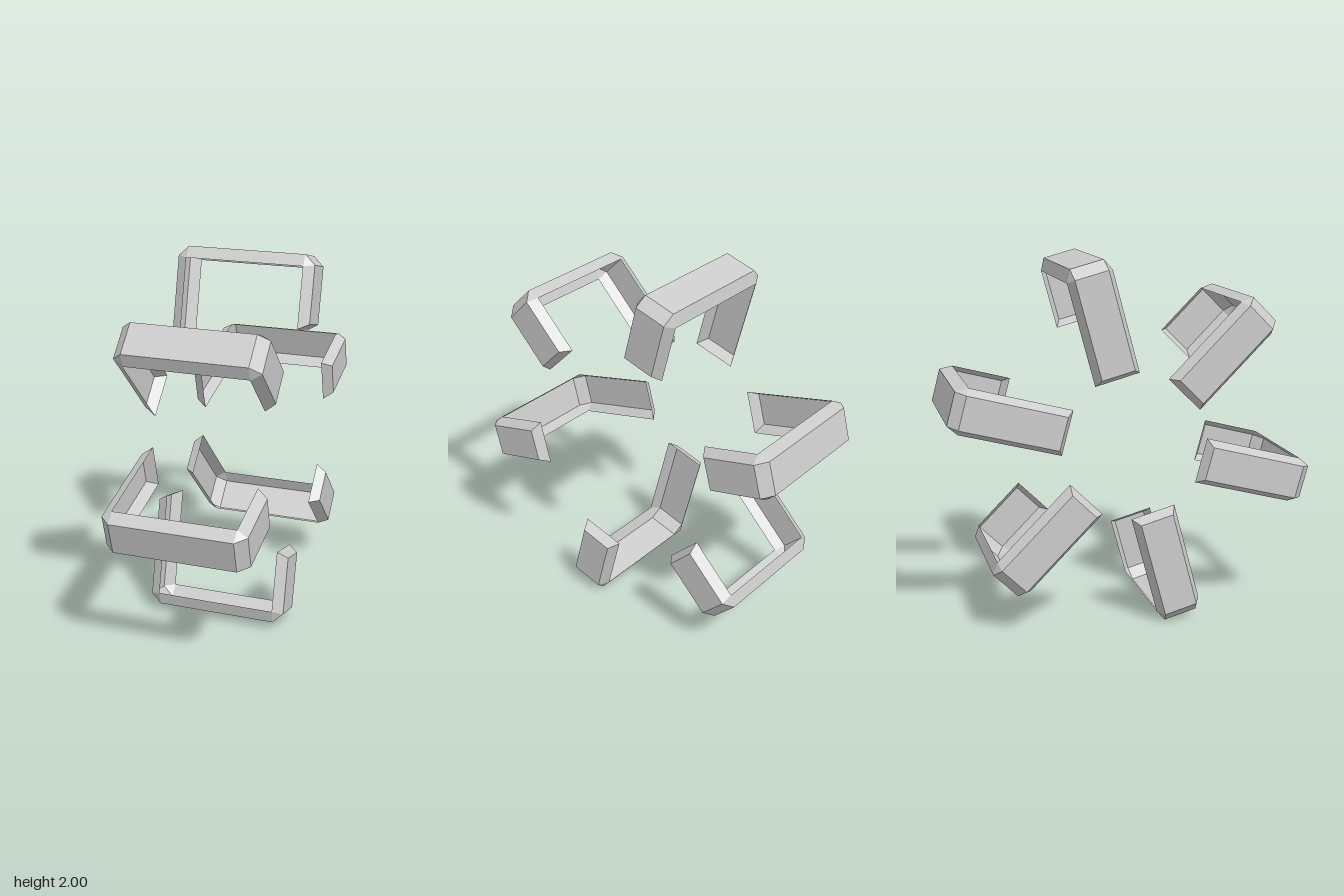
import * as THREE from 'three';

// Bracket profile as [x, radius]: narrow outer face and wide open inner rim
const OUTER = [[-0.39, 0.415], [-0.39, 0.957], [-0.333, 1.011], [0.333, 1.011], [0.39, 0.957], [0.39, 0.64]];
const RIM = [[-0.333, 0.383], [-0.333, 0.945], [0.333, 0.945], [0.333, 0.609]];
const OUTER_HALF = 0.092;
const RIM_HALF = 0.125;

// Hollow U-shaped shell: one long arm, one short arm, chamfered corners
function bracketGeometry() {
  const out = (i, s) => [...OUTER[i], s * OUTER_HALF];
  const rim = (i, s) => [...RIM[i], s * RIM_HALF];
  const positions = [];
  const face = (...pts) => {
    for (let i = 1; i < pts.length - 1; i++) positions.push(...pts[0], ...pts[i], ...pts[i + 1]);
  };

  // Outer face
  for (let i = 0; i < 5; i++) face(out(i, 1), out(i + 1, 1), out(i + 1, -1), out(i, -1));

  // Bevelled sides, mirrored
  for (const s of [1, -1]) {
    const side = (...pts) => face(...(s > 0 ? pts : pts.reverse()));
    for (let k = 0; k < 3; k++) side(out(2 * k, s), rim(k, s), rim(k + 1, s), out(2 * k + 1, s));
    for (let k = 1; k < 3; k++) side(out(2 * k - 1, s), rim(k, s), out(2 * k, s));
  }

  // Slanted arm ends
  face(out(0, 1), out(0, -1), rim(0, -1), rim(0, 1));
  face(out(5, -1), out(5, 1), rim(3, 1), rim(3, -1));

  const geometry = new THREE.BufferGeometry();
  geometry.setAttribute('position', new THREE.Float32BufferAttribute(positions, 3));
  geometry.computeVertexNormals();
  return geometry;
}

export function createModel() {
  const model = new THREE.Group();
  model.name = 'bracketRing';
  const material = new THREE.MeshStandardMaterial({ color: 0xcccccc, flatShading: true, side: THREE.DoubleSide });
  const geometry = bracketGeometry();

  // Six brackets in a ring around the x axis
  for (let i = 0; i < 6; i++) {
    const bracket = new THREE.Mesh(geometry, material);
    bracket.name = `bracket${i + 1}`;
    bracket.position.y = 1;
    bracket.rotation.x = -THREE.MathUtils.degToRad(15 + 60 * i);
    model.add(bracket);
  }
  return model;
}
